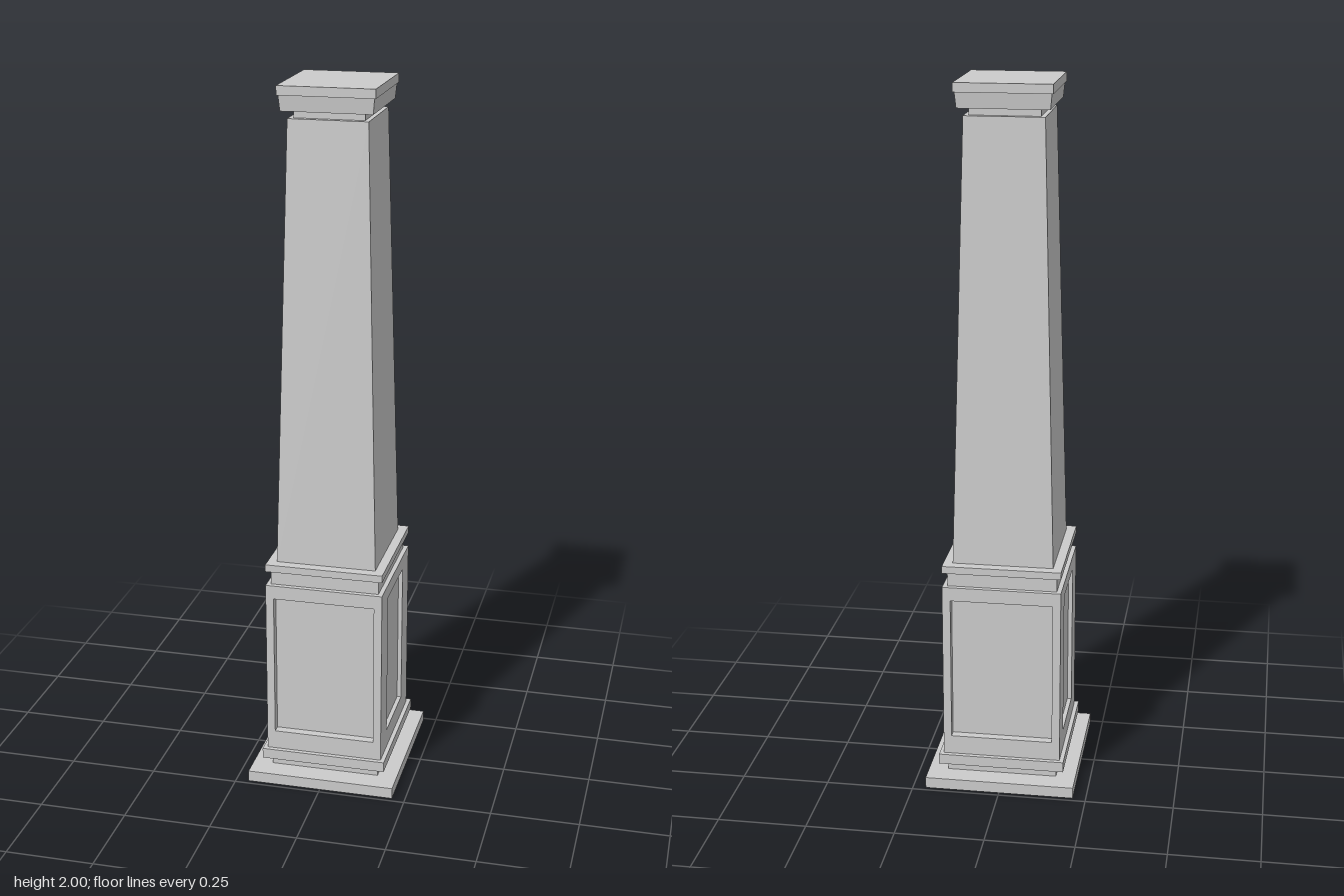
import * as THREE from 'three';

const grey = new THREE.MeshStandardMaterial({ color: 0xcccccc, flatShading: true });

// Rectangular block from y0 to y1; half sizes at the bottom and (optionally) at the top
function block(name, y0, y1, hx, hz, topX = hx, topZ = hz) {
  const geo = new THREE.BoxGeometry(2, y1 - y0, 2);
  const p = geo.attributes.position;
  for (let i = 0; i < p.count; i++) {
    const top = p.getY(i) > 0;
    p.setX(i, p.getX(i) * (top ? topX : hx));
    p.setZ(i, p.getZ(i) * (top ? topZ : hz));
  }
  geo.computeVertexNormals();
  const mesh = new THREE.Mesh(geo, grey);
  mesh.name = name;
  mesh.position.y = (y0 + y1) / 2;
  return mesh;
}

// Flat rectangular frame around a recessed panel, facing +z
function frame(name, halfW, y0, y1, holeHalfW, holeY0, holeY1, depth) {
  const rect = (Path, w, a, b) => new Path([[-w, a], [w, a], [w, b], [-w, b]]
    .map(([x, y]) => new THREE.Vector2(x, y)));
  const shape = rect(THREE.Shape, halfW, y0, y1);
  shape.holes.push(rect(THREE.Path, holeHalfW, holeY0, holeY1));
  const geo = new THREE.ExtrudeGeometry(shape, { depth, bevelEnabled: false });
  const mesh = new THREE.Mesh(geo, grey);
  mesh.name = name;
  return mesh;
}

// Pedestal: a core with raised frames on its four sides
function createPedestal() {
  const pedestal = new THREE.Group();
  pedestal.name = 'pedestal';
  const hx = 0.168, hz = 0.186, y0 = 0.09, y1 = 0.605;
  const frontDepth = 0.025, sideDepth = 0.012;
  const coreX = hx - sideDepth, coreZ = hz - frontDepth;
  pedestal.add(block('pedestalCore', y0, y1, coreX, coreZ));
  for (const s of [1, -1]) {
    const front = frame(s > 0 ? 'frontFrame' : 'backFrame', hx, y0, y1, 0.145, 0.145, 0.565, frontDepth);
    front.rotation.y = s > 0 ? 0 : Math.PI;
    front.position.z = s * coreZ;
    const side = frame(s > 0 ? 'leftFrame' : 'rightFrame', coreZ, y0, y1, 0.103, 0.145, 0.565, sideDepth);
    side.rotation.y = s * Math.PI / 2;
    side.position.x = s * coreX;
    pedestal.add(front, side);
  }
  return pedestal;
}

export function createModel() {
  const column = new THREE.Group();
  column.name = 'column';
  column.add(
    // Stepped base
    block('basePlate', 0, 0.032, 0.213, 0.237),
    block('baseNeck', 0.032, 0.06, 0.157, 0.174),
    block('baseMoulding', 0.06, 0.09, 0.18, 0.199),
    createPedestal(),
    // Pedestal top
    block('pedestalNeck', 0.605, 0.647, 0.155, 0.172),
    block('pedestalCap', 0.647, 0.668, 0.168, 0.186),
    // Tapered shaft
    block('shaft', 0.668, 1.912, 0.142, 0.156, 0.109, 0.123),
    // Capital
    block('capitalNeck', 1.912, 1.933, 0.096, 0.107),
    block('capitalMoulding', 1.933, 1.975, 0.124, 0.138, 0.128, 0.142),
    block('capitalSlab', 1.975, 2, 0.132, 0.146),
  );
  return column;
}
